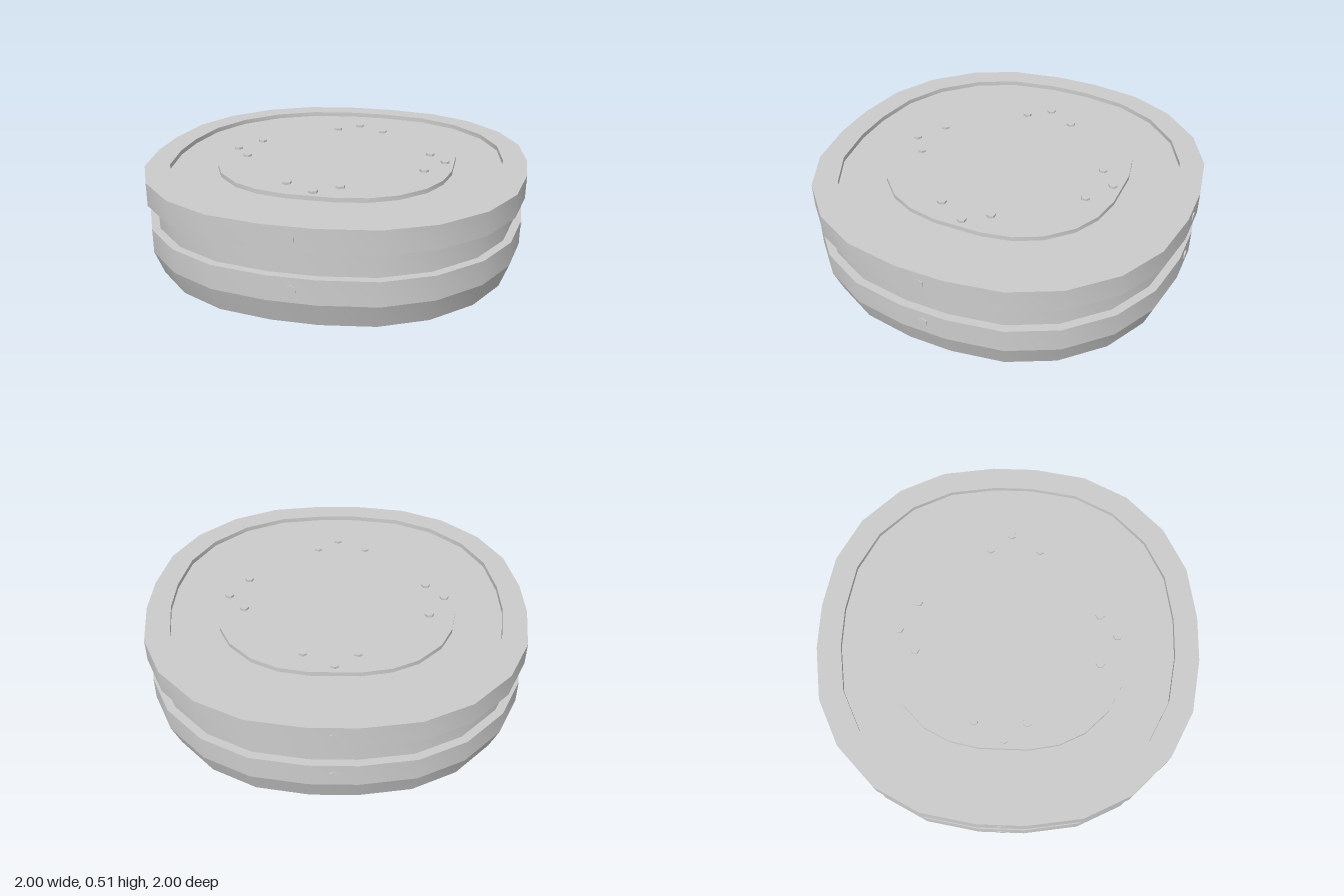
import * as THREE from 'three';

const material = new THREE.MeshStandardMaterial({ color: 0xcccccc, side: THREE.DoubleSide });

// Unit outlines: one quadrant of a rounded 24-sided disc, as [x, z]
const ROUND = [[0.12, 1], [0.4, 0.955], [0.638, 0.836], [0.836, 0.638], [0.955, 0.4], [1, 0.12]];
const SQUARISH = [[0.2, 1], [0.445, 0.952], [0.655, 0.847], [0.847, 0.655], [0.952, 0.445], [1, 0.2]];

// Turn a quadrant into the full loop, running from +z towards +x
function fullOutline(quadrant) {
  const loop = [];
  for (let q = 0; q < 4; q++) {
    for (const [x, z] of quadrant) {
      let p = [x, z];
      for (let i = 0; i < q; i++) p = [p[1], -p[0]];
      loop.push(p);
    }
  }
  return loop;
}

// Sweep a [scale, y] profile round an outline; every band is smooth round, sharp at its edges
function loft(name, quadrant, profile) {
  const loop = fullOutline(quadrant), n = loop.length;
  const positions = [], index = [];
  for (let b = 0; b < profile.length - 1; b++) {
    const start = positions.length / 3;
    for (const [s, y] of [profile[b], profile[b + 1]]) {
      for (const [x, z] of loop) positions.push(x * s, y, z * s);
    }
    for (let i = 0; i < n; i++) {
      const j = (i + 1) % n;
      const a = start + i, c = start + j, d = a + n, e = c + n;
      if (profile[b][0] > 0) index.push(a, c, d);
      if (profile[b][0] > 0 && profile[b + 1][0] > 0) index.push(c, e, d);
      if (profile[b][0] === 0) index.push(a, e, d);
    }
  }
  const geometry = new THREE.BufferGeometry();
  geometry.setAttribute('position', new THREE.Float32BufferAttribute(positions, 3));
  geometry.setIndex(index);
  geometry.computeVertexNormals();
  const mesh = new THREE.Mesh(geometry, material);
  mesh.name = name;
  return mesh;
}

// Small six-sided stud
function stud(name, height) {
  const geometry = new THREE.CylinderGeometry(0.024, 0.024, height, 6).toNonIndexed();
  geometry.computeVertexNormals();
  const mesh = new THREE.Mesh(geometry, material);
  mesh.name = name;
  return mesh;
}

export function createModel() {
  const model = new THREE.Group();
  model.name = 'roundPlatform';

  // Lower band with tapered foot
  model.add(loft('base', ROUND, [[0, 0], [0.94, 0], [0.985, 0.125], [0.985, 0.25], [0.945, 0.25]]));
  // Recessed groove between the two bands
  model.add(loft('neck', ROUND, [[0.945, 0.25], [0.945, 0.38]]));
  // Upper band with raised lip and sunken floor
  model.add(loft('rim', ROUND, [[0.945, 0.38], [0.995, 0.38], [0.995, 0.5], [0.87, 0.5], [0.87, 0.475], [0, 0.475]]));
  // Raised centre plate
  model.add(loft('centrePlate', SQUARISH, [[0.62, 0.475], [0.62, 0.498], [0, 0.498]]));

  for (let q = 0; q < 4; q++) {
    const side = new THREE.Group();
    side.name = 'studSet' + (q + 1);
    // Three studs on the plate
    for (const [x, z] of [[0, 0.573], [0.113, 0.482], [-0.157, 0.482]]) {
      const top = stud('plateStud', 0.03);
      top.position.set(x, 0.495, z);
      side.add(top);
    }
    // One stud on each band
    for (const [y, reach] of [[0.44, 1], [0.19, 0.992]]) {
      const bolt = stud('bandStud', 0.04);
      bolt.rotation.x = Math.PI / 2;
      bolt.position.set(0, y, reach - 0.02);
      side.add(bolt);
    }
    side.rotation.y = q * Math.PI / 2;
    model.add(side);
  }
  return model;
}
